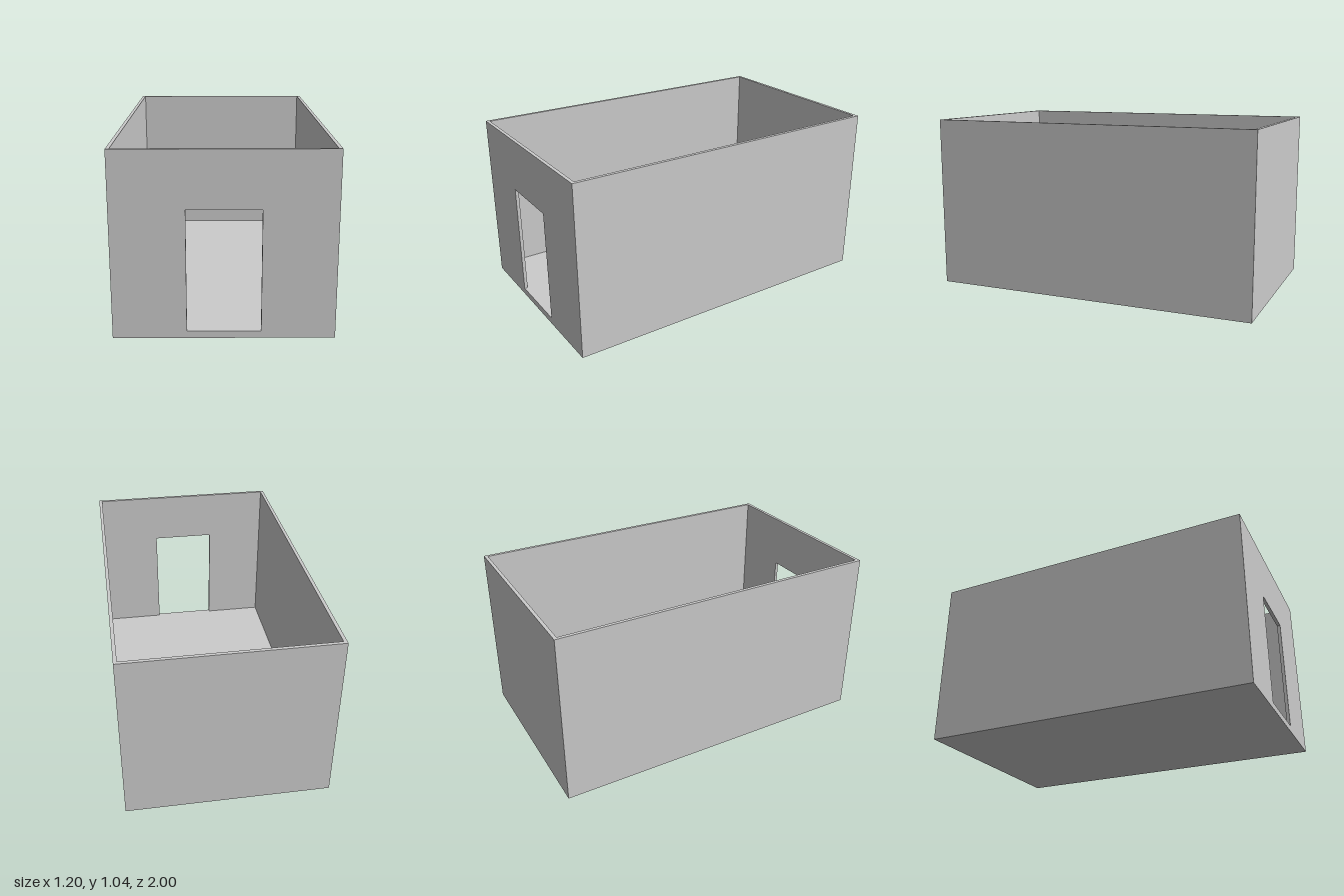
import * as THREE from 'three';

const W = 1.2, D = 2, H = 1.04; // overall size
const FLOOR = 0.04, WALL = 0.02; // slab and wall thickness
const DOOR_W = 0.4, DOOR_TOP = 0.72;

export function createModel() {
  const group = new THREE.Group();
  group.name = 'roofless room';
  const material = new THREE.MeshStandardMaterial({ color: 0xcccccc, flatShading: true });

  const add = (name, geometry, x, y, z) => {
    const mesh = new THREE.Mesh(geometry, material);
    mesh.name = name;
    mesh.position.set(x, y, z);
    group.add(mesh);
  };

  // Floor slab
  add('floor', new THREE.BoxGeometry(W, FLOOR, D), 0, FLOOR / 2, 0);

  // Side walls, fitted between the front and back walls
  const wallH = H - FLOOR, wallY = FLOOR + wallH / 2;
  for (const [name, side] of [['leftWall', 1], ['rightWall', -1]]) {
    add(name, new THREE.BoxGeometry(WALL, wallH, D - 2 * WALL), side * (W - WALL) / 2, wallY, 0);
  }

  // Back wall
  add('backWall', new THREE.BoxGeometry(W, wallH, WALL), 0, wallY, -(D - WALL) / 2);

  // Front wall, an arch-like outline around a doorway that starts at floor level
  const w = W / 2, d = DOOR_W / 2;
  const outline = new THREE.Shape([
    [-w, FLOOR], [-d, FLOOR], [-d, DOOR_TOP], [d, DOOR_TOP],
    [d, FLOOR], [w, FLOOR], [w, H], [-w, H],
  ].map(([x, y]) => new THREE.Vector2(x, y)));
  const front = new THREE.ExtrudeGeometry(outline, { depth: WALL, bevelEnabled: false });
  add('frontWall', front, 0, 0, D / 2 - WALL);

  return group;
}
